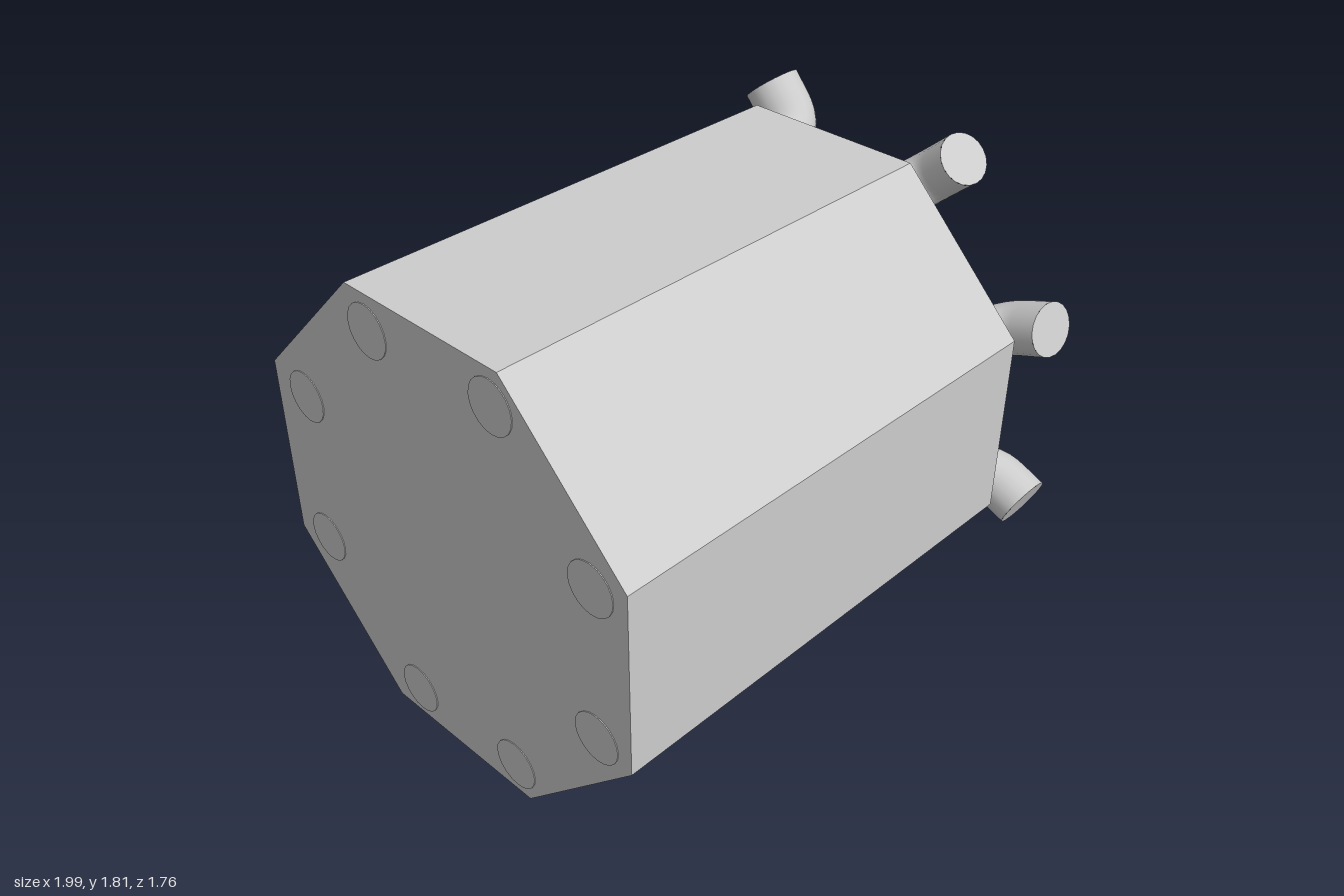
import * as THREE from 'three';

const CY = 0.925, CZ = -0.012; // axis of the barrel
const TUBE_R = 0.09, BEND_X = 0.885;

function octagon(PathType, apothem) {
  const r = apothem / Math.cos(Math.PI / 8);
  const pts = [];
  for (let i = 0; i < 8; i++) {
    const a = Math.PI / 8 + i * Math.PI / 4;
    pts.push(new THREE.Vector2(-CZ + r * Math.cos(a), CY + r * Math.sin(a)));
  }
  return new PathType(pts);
}

// Extrude a profile drawn in the (-z, y) plane along x
function extrudeX(shape, x0, x1) {
  const g = new THREE.ExtrudeGeometry(shape, { depth: x1 - x0, bevelEnabled: false });
  return g.rotateY(Math.PI / 2).translate(x0, 0, 0);
}

export function createModel() {
  const model = new THREE.Group();
  const grey = new THREE.MeshStandardMaterial({ color: 0xcccccc });
  grey.name = 'light grey';
  const add = (name, geometry, parent = model) => {
    const m = new THREE.Mesh(geometry, grey);
    m.name = name;
    parent.add(m);
    return m;
  };

  // Eight-sided barrel, open at +x and closed at -x
  const wall = octagon(THREE.Shape, 0.81);
  wall.holes.push(octagon(THREE.Path, 0.768));
  add('barrelWall', extrudeX(wall, -0.997, 0.755));
  add('endPlate', extrudeX(octagon(THREE.Shape, 0.79), -0.997, -0.95));

  // Stepped round hub on the inner floor
  const profile = [[0.425, 0], [0.425, 0.06], [0.37, 0.06], [0.37, 0.2], [0.32, 0.2], [0.275, 0.225], [0.235, 0.235], [0, 0.235]]
    .map(([r, h]) => new THREE.Vector2(r, h));
  const hubGeometry = new THREE.LatheGeometry(profile, 24);
  hubGeometry.rotateZ(-Math.PI / 2).translate(-0.955, CY + 0.01, 0);
  add('hub', hubGeometry);

  // Rods: [root z, root y, tip z, tip y]; each runs along x and bends outward
  const rods = [
    [0.285, 1.61, 0.44, 1.745], [0.655, 1.2, 0.85, 1.27],
    [0.655, 0.635, 0.848, 0.553], [0.265, 0.23, 0.41, 0.085],
    [-0.225, 0.225, -0.34, 0.063], [-0.66, 0.63, -0.857, 0.58],
    [-0.655, 1.2, -0.837, 1.297], [-0.26, 1.61, -0.395, 1.765],
  ];
  for (const [rz, ry, tz, ty] of rods) {
    const rod = new THREE.Group();
    rod.name = 'bentRod';
    model.add(rod);
    const start = new THREE.Vector3(-1, ry, rz);
    const corner = new THREE.Vector3(BEND_X, ry, rz);
    const tip = new THREE.Vector3(BEND_X, ty, tz);
    const out = tip.clone().sub(corner).normalize();
    const bendStart = new THREE.Vector3(BEND_X - 0.115, ry, rz);
    const bendEnd = corner.clone().addScaledVector(out, 0.12);
    const path = new THREE.CurvePath();
    path.add(new THREE.LineCurve3(start, bendStart));
    path.add(new THREE.QuadraticBezierCurve3(bendStart, corner, bendEnd));
    path.add(new THREE.LineCurve3(bendEnd, tip));

    // The bent end is a little wider along x
    const widen = (g) => {
      const p = g.attributes.position;
      for (let i = 0; i < p.count; i++) {
        const x = p.getX(i);
        if (x > 0.6) p.setX(i, BEND_X + (x - BEND_X) * 1.2);
      }
      return g;
    };
    add('rodTube', widen(new THREE.TubeGeometry(path, 90, TUBE_R, 20, false)), rod);

    // Flat discs closing both ends
    const disc = (at, dir) => {
      const g = new THREE.CircleGeometry(TUBE_R, 20);
      g.applyQuaternion(new THREE.Quaternion().setFromUnitVectors(new THREE.Vector3(0, 0, 1), dir));
      return widen(g.translate(at.x, at.y, at.z));
    };
    add('rodTipCap', disc(tip, out), rod);
    add('rodBackCap', disc(start, new THREE.Vector3(-1, 0, 0)), rod);
  }
  return model;
}
